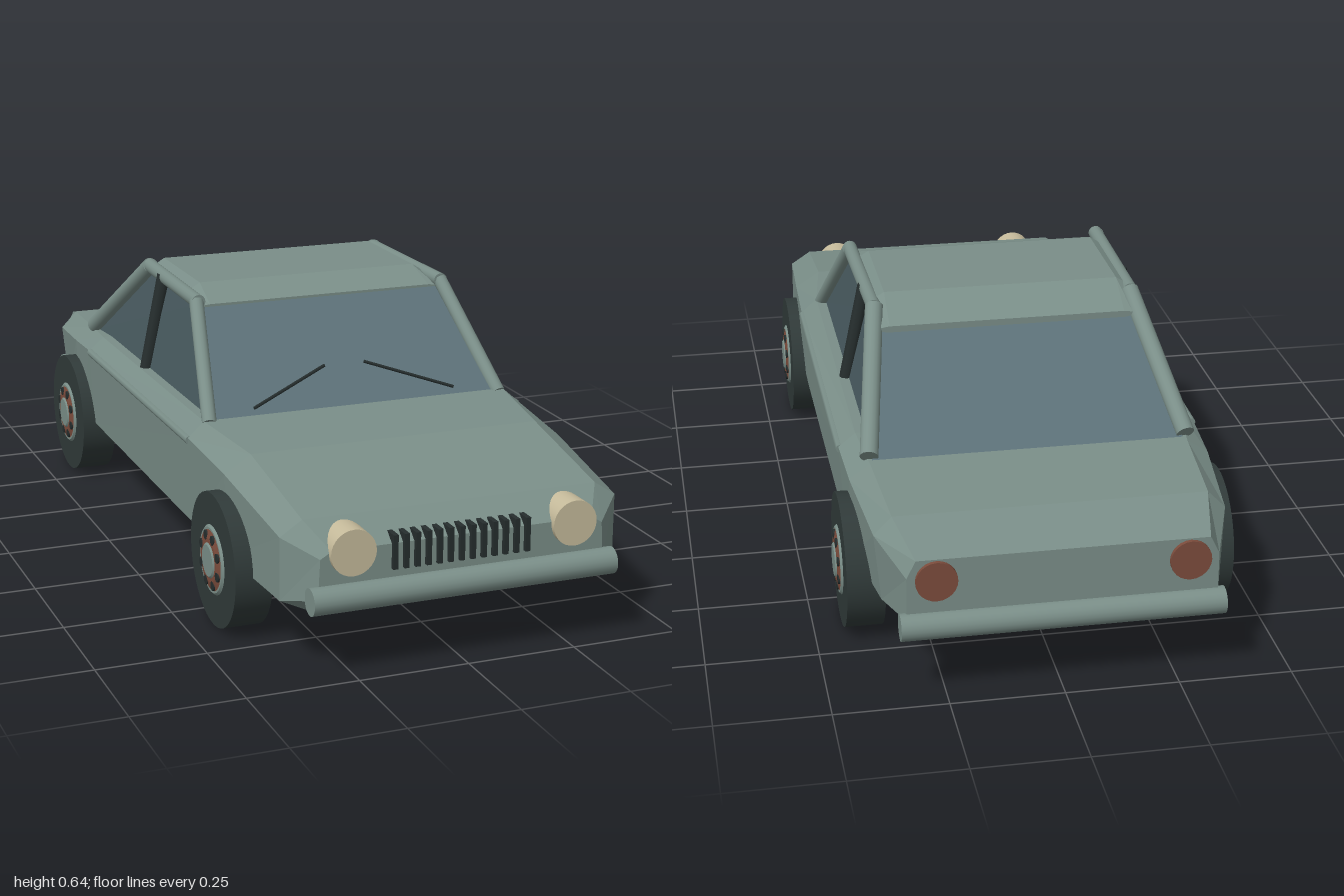
import * as THREE from 'three';

const paint = (name, color) => {
  const m = new THREE.MeshStandardMaterial({ color });
  m.name = name;
  return m;
};

// Flat-faced loft through half sections [z, [x, y]...], mirrored in x, listed front to back
function loft(sections) {
  const rings = sections.map(([z, ...half]) => [
    ...half.map(([x, y]) => [x, y, z]),
    ...half.slice().reverse().map(([x, y]) => [-x, y, z]),
  ]);
  const pos = [];
  const tri = (a, b, c) => pos.push(...a, ...b, ...c);
  const n = rings[0].length;
  for (let k = 0; k < rings.length - 1; k++) {
    const a = rings[k], b = rings[k + 1];
    for (let i = 0; i < n; i++) {
      const j = (i + 1) % n;
      tri(a[i], b[i], b[j]);
      tri(a[i], b[j], a[j]);
    }
  }
  const first = rings[0], last = rings[rings.length - 1];
  for (let i = 1; i < n - 1; i++) {
    tri(first[0], first[i], first[i + 1]);
    tri(last[0], last[i + 1], last[i]);
  }
  return fromTriangles(pos);
}

function fromTriangles(pos) {
  const g = new THREE.BufferGeometry();
  g.setAttribute('position', new THREE.Float32BufferAttribute(pos, 3));
  g.computeVertexNormals();
  return g;
}

const pane = (a, b, c, d) => fromTriangles([...a, ...b, ...c, ...a, ...c, ...d]);

export function createModel() {
  const car = new THREE.Group();
  car.name = 'car';
  const body = paint('body green grey', 0x7a8e88);
  const glass = paint('glass', 0x5c7178);
  const sideGlass = paint('side glass', 0x485a5f);
  const black = paint('black trim', 0x262e2e);
  const rubber = paint('tyre rubber', 0x303a39);
  const cream = paint('headlight cream', 0xc6bb9b);
  const rust = paint('tail light brown', 0x7c4c3c);
  glass.side = sideGlass.side = THREE.DoubleSide;

  const add = (name, geo, mat, parent = car) => {
    const m = new THREE.Mesh(geo, mat);
    m.name = name;
    parent.add(m);
    return m;
  };
  // Round bar between two points
  const rod = (name, mat, a, b, r, sides = 16) => {
    const p = new THREE.Vector3(...a), q = new THREE.Vector3(...b);
    const dir = q.clone().sub(p);
    const m = add(name, new THREE.CylinderGeometry(r, r, dir.length(), sides), mat);
    m.position.copy(p).add(q).multiplyScalar(0.5);
    m.quaternion.setFromUnitVectors(new THREE.Vector3(0, 1, 0), dir.normalize());
    return m;
  };

  // Lower body: floor edge, sill, shoulder and deck edge at each station
  add('body', loft([
    [0.965, [0.29, 0.155], [0.33, 0.175], [0.325, 0.265], [0.3, 0.28]],
    [0.9, [0.32, 0.127], [0.39, 0.16], [0.39, 0.3], [0.34, 0.333]],
    [0.6, [0.35, 0.125], [0.4, 0.155], [0.406, 0.345], [0.345, 0.385]],
    [0.37, [0.35, 0.127], [0.402, 0.155], [0.414, 0.362], [0.375, 0.397]],
    [-0.45, [0.35, 0.132], [0.402, 0.16], [0.414, 0.358], [0.375, 0.39]],
    [-0.6, [0.35, 0.135], [0.4, 0.162], [0.408, 0.348], [0.36, 0.38]],
    [-0.83, [0.34, 0.145], [0.37, 0.17], [0.385, 0.325], [0.345, 0.366]],
    [-0.97, [0.31, 0.175], [0.335, 0.19], [0.335, 0.29], [0.315, 0.33]],
  ]), body);

  // Roof panel
  add('roof', loft([
    [0.14, [0.29, 0.592], [0.31, 0.598], [0.3, 0.606], [0.28, 0.608]],
    [0.05, [0.29, 0.6], [0.31, 0.612], [0.3, 0.625], [0.275, 0.64]],
    [-0.23, [0.29, 0.6], [0.31, 0.612], [0.3, 0.625], [0.275, 0.64]],
    [-0.32, [0.28, 0.575], [0.3, 0.58], [0.295, 0.587], [0.275, 0.59]],
  ]), body);

  // Windows
  add('windshield', pane([-0.355, 0.385, 0.38], [0.355, 0.385, 0.38], [0.3, 0.602, 0.14], [-0.3, 0.602, 0.14]), glass);
  add('rearWindow', pane([0.355, 0.375, -0.59], [-0.355, 0.375, -0.59], [-0.295, 0.605, -0.275], [0.295, 0.605, -0.275]), glass);
  for (const s of [1, -1]) {
    const corners = [[0.355 * s, 0.385, 0.38], [0.355 * s, 0.375, -0.59], [0.296 * s, 0.61, -0.27], [0.302 * s, 0.61, 0.135]];
    add('sideWindow', pane(...(s > 0 ? corners : corners.reverse())), sideGlass);

    // Pillars, roof rail and waist trim
    rod('frontPillar', body, [0.362 * s, 0.39, 0.37], [0.312 * s, 0.617, 0.135], 0.017);
    rod('rearPillar', body, [0.36 * s, 0.39, -0.58], [0.302 * s, 0.617, -0.255], 0.021);
    rod('roofRail', body, [0.31 * s, 0.617, 0.145], [0.303 * s, 0.617, -0.26], 0.017);
    rod('centrePillar', black, [0.358 * s, 0.385, -0.13], [0.308 * s, 0.622, -0.13], 0.017, 8);
    rod('waistTrim', body, [0.41 * s, 0.356, 0.37], [0.41 * s, 0.353, -0.45], 0.01, 8);

    // Wipers lie along the windshield
    rod('wiper', black, [0.25 * s, 0.412, 0.36], [0.05 * s, 0.475, 0.288], 0.004, 6);

    // Lamps
    rod('headlight', cream, [0.255 * s, 0.275, 0.88], [0.255 * s, 0.275, 0.977], 0.051, 28);
    rod('tailLight', rust, [0.272 * s, 0.282, -0.93], [0.272 * s, 0.282, -0.979], 0.045, 24);
  }

  // Grille bars
  for (let i = 0; i < 13; i++) {
    const bar = add('grilleBar', new THREE.BoxGeometry(0.011, 0.076, 0.04), black);
    bar.position.set(-0.16 + i * 0.0254, 0.263, 0.955);
  }

  // Bumpers
  for (const s of [1, -1]) {
    rod(s > 0 ? 'frontBumper' : 'rearBumper', body, [-0.35, 0.177, 0.97 * s], [0.35, 0.177, 0.97 * s], 0.03, 20);
  }

  // Wheels are built with their axle along y, outer face up
  const tyreGeo = new THREE.CylinderGeometry(0.152, 0.152, 0.085, 40);
  const hubGeo = new THREE.CylinderGeometry(0.074, 0.08, 0.006, 32);
  const ringGeo = new THREE.CylinderGeometry(0.05, 0.071, 0.005, 32);
  const capGeo = new THREE.CylinderGeometry(0.036, 0.043, 0.006, 24);
  const boltGeo = new THREE.CylinderGeometry(0.011, 0.011, 0.008, 10);
  for (const s of [1, -1]) {
    for (const z of [0.6, -0.6]) {
      const wheel = new THREE.Group();
      wheel.name = 'wheel';
      add('tyre', tyreGeo, rubber, wheel);
      add('hub', hubGeo, body, wheel).position.y = 0.0445;
      add('hubRing', ringGeo, rust, wheel).position.y = 0.0495;
      add('hubCap', capGeo, body, wheel).position.y = 0.0525;
      for (let i = 0; i < 8; i++) {
        const a = (i + 0.5) * Math.PI / 4;
        add('bolt', boltGeo, black, wheel).position.set(Math.cos(a) * 0.057, 0.0485, Math.sin(a) * 0.057);
      }
      wheel.rotation.z = -s * Math.PI / 2;
      wheel.position.set(0.3925 * s, 0.152, z);
      car.add(wheel);
    }
  }
  return car;
}
